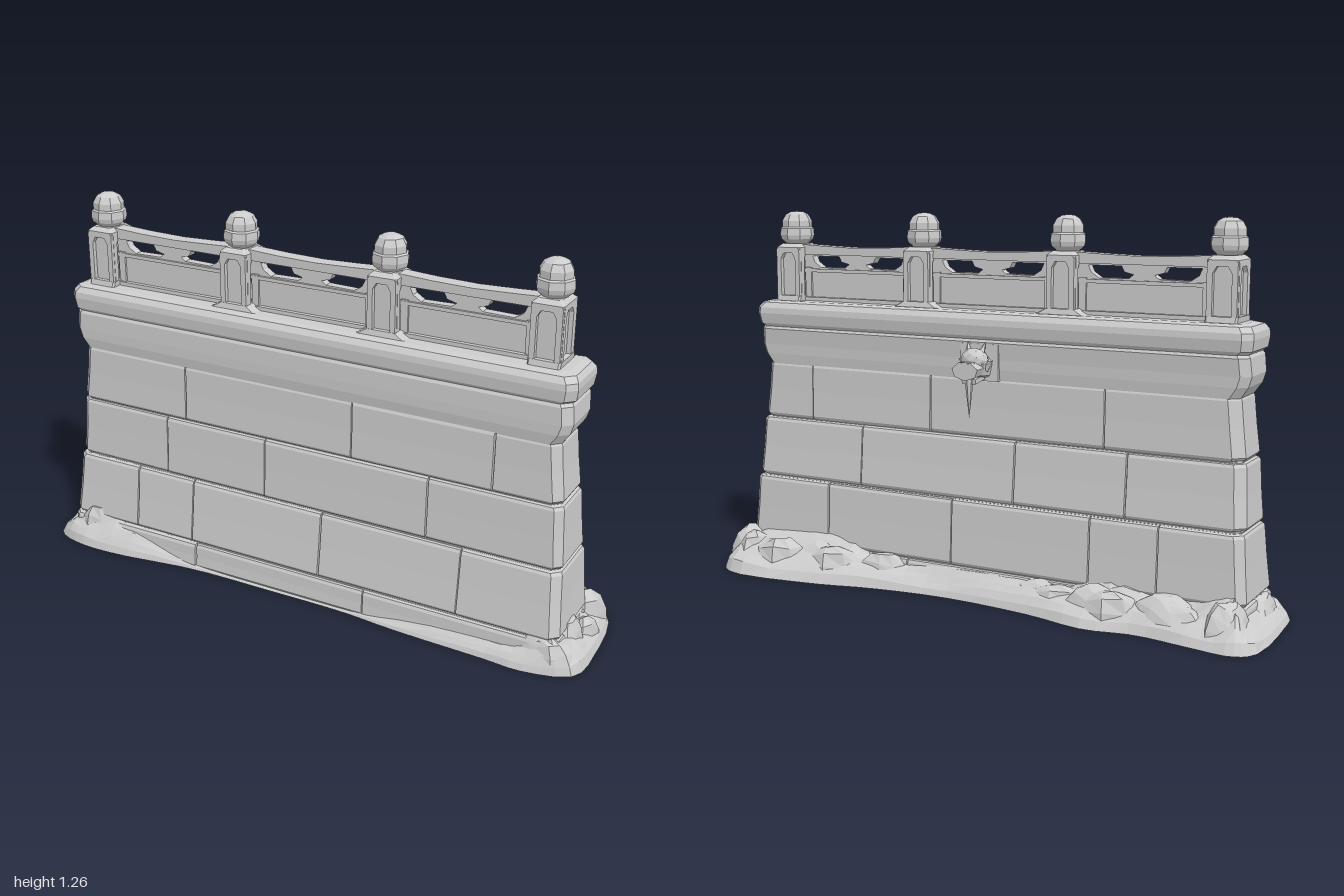
import * as THREE from 'three';

const stone = new THREE.MeshStandardMaterial({ color: 0xcccccc, flatShading: true, side: THREE.DoubleSide });
stone.name = 'grey stone';

let seed = 7;
const rnd = () => (seed = (seed * 16807) % 2147483647) / 2147483647;

function add(parent, name, geometry, x = 0, y = 0, z = 0) {
  const mesh = new THREE.Mesh(geometry, stone);
  mesh.name = name;
  mesh.position.set(x, y, z);
  parent.add(mesh);
  return mesh;
}
const box = (w, h, d) => new THREE.BoxGeometry(w, h, d);

// Skin a stack of rings or open strips, each a list of [x, y, z]
function loft(rings, { closed = true, caps = true } = {}) {
  const n = rings[0].length, pos = rings.flat(2), idx = [];
  for (let r = 0; r < rings.length - 1; r++)
    for (let i = 0; i < (closed ? n : n - 1); i++) {
      const a = r * n + i, b = r * n + (i + 1) % n;
      idx.push(a, b, b + n, a, b + n, a + n);
    }
  const last = (rings.length - 1) * n;
  if (caps) for (let i = 1; i < n - 1; i++) idx.push(0, i + 1, i, last, last + i, last + i + 1);
  const g = new THREE.BufferGeometry();
  g.setAttribute('position', new THREE.Float32BufferAttribute(pos, 3));
  g.setIndex(idx);
  const flat = g.toNonIndexed();
  flat.computeVertexNormals();
  return flat;
}

// Rectangle in plan with corners cut by c
const plan = (w, zf, zb, y, c) => [
  [-w + c, y, zf], [w - c, y, zf], [w, y, zf - c], [w, y, zb + c],
  [w - c, y, zb], [-w + c, y, zb], [-w, y, zb + c], [-w, y, zf - c]];

// Courses: bottom, top, [half width, front z, back z] at each, joint positions
const courses = [
  [0, 0.095, [0.93, 0.2, -0.1], [0.922, 0.194, -0.094], [-0.39, 0.26]],
  [0.095, 0.32, [0.922, 0.19, -0.094], [0.905, 0.163, -0.084], [-0.64, -0.41, 0.09, 0.585]],
  [0.32, 0.53, [0.905, 0.158, -0.07], [0.892, 0.15, -0.052], [-0.52, -0.13, 0.46]],
  [0.53, 0.73, [0.89, 0.15, -0.05], [0.868, 0.144, -0.046], [-0.44, 0.19, 0.67]]];

function buildWall(root) {
  const wall = new THREE.Group();
  wall.name = 'wall';
  root.add(wall);
  courses.forEach(([y0, y1, lo, hi, joints], row) => {
    const gap = 0.0022, depth = 0.014, edges = [-1, ...joints, 1];
    // Outlines of a block face in plan: the ends wrap round the corners
    const front = (a, b, zf) => [[a, zf - depth], [a, zf], [b, zf], [b, zf - depth]];
    const back = (a, b, zb) => [[b, zb + depth], [b, zb], [a, zb], [a, zb + depth]];
    const leftEnd = (w, b, zf, zb, c) => [[b, zb + depth], [b, zb], [-w + c, zb], [-w, zb + c],
      [-w, zf - c], [-w + c, zf], [b, zf], [b, zf - depth]];
    const rightEnd = (w, a, zf, zb, c) => [[a, zf - depth], [a, zf], [w - c, zf], [w, zf - c],
      [w, zb + c], [w - c, zb], [a, zb], [a, zb + depth]];
    for (let k = 0; k < edges.length - 1; k++) {
      const a = edges[k] + gap, b = edges[k + 1] - gap, c = 0.022 + rnd() * 0.012, push = (rnd() - 0.5) * 0.005;
      const e = 0.007 / (y1 - y0);
      const levels = [[e, 0.004], [2 * e, 0], [0.5, 0.001], [1 - 2 * e, 0], [1 - e * 0.6, 0.004], [1, 0.014]];
      levels.unshift([0, row ? 0.014 : 0]);
      const face = outline => add(wall, 'wallBlock', loft(levels.map(([t, inset]) => {
        const [w, zf, zb] = lo.map((v, i) => v + (hi[i] - v) * t);
        return outline(w - inset, zf - inset + push, zb + inset - push).map(([x, z]) => [x, y0 + (y1 - y0) * t, z]);
      }), { closed: false, caps: false }));
      if (k === 0) face((w, zf, zb) => leftEnd(w, b, zf, zb, c));
      else if (k === edges.length - 2) face((w, zf, zb) => rightEnd(w, a, zf, zb, c));
      else {
        face((w, zf) => front(a, b, zf));
        face((w, zf, zb) => back(a, b, zb));
      }
    }
  });
  // Hollow mortar lining behind the joints
  add(wall, 'mortarLining', loft(courses.flatMap(([y0, y1, lo, hi]) => [[y0, lo], [y1, hi]])
    .map(([y, [w, zf, zb]]) => plan(w - 0.012, zf - 0.012, zb + 0.012, y, 0.025)), { caps: false }));

  // Moulding and coping on top of the courses
  const rings = list => loft(list.map(([y, w, zf, zb]) => plan(w, zf, zb, y, 0.028)));
  add(wall, 'moulding', rings([[0.722, 0.866, 0.142, -0.045], [0.757, 0.89, 0.148, -0.049],
    [0.79, 0.9, 0.149, -0.05], [0.845, 0.895, 0.148, -0.056], [0.856, 0.888, 0.142, -0.05]]));
  add(wall, 'coping', rings([[0.854, 0.888, 0.142, -0.052], [0.865, 0.902, 0.151, -0.06],
    [0.9, 0.907, 0.155, -0.066], [0.92, 0.905, 0.153, -0.064], [0.938, 0.893, 0.14, -0.052], [0.944, 0.87, 0.12, -0.03]]));
}

const poly = pts => pts.map(([x, y]) => new THREE.Vector2(x, y));
const extrude = (shape, depth) => new THREE.ExtrudeGeometry(shape, { depth, bevelEnabled: false });

// Post with sunk panels on four sides, spread foot and bud finial
function buildPost(root, x) {
  const post = new THREE.Group();
  post.name = 'post';
  post.position.set(x, 0, 0.045);
  root.add(post);
  const sq = (w, d, y) => plan(w, d, -d, y, 0.006);
  add(post, 'postCore', box(0.07, 0.19, 0.09), 0, 1.03);
  for (let i = 0; i < 4; i++) {
    const shape = new THREE.Shape(poly([[-0.048, 0.935], [0.048, 0.935], [0.048, 1.125], [-0.048, 1.125]]));
    shape.holes.push(new THREE.Path(poly([[-0.03, 0.962], [-0.03, 1.09], [-0.018, 1.11],
      [0.018, 1.11], [0.03, 1.09], [0.03, 0.962], [0.019, 0.95], [-0.019, 0.95]])));
    const side = new THREE.Group();
    side.name = 'postPanelFrame';
    side.rotation.y = i * Math.PI / 2;
    add(side, 'panelFrame', extrude(shape, 0.015), 0, 0, i % 2 ? 0.034 : 0.045);
    post.add(side);
  }
  add(post, 'postCap', loft([sq(0.05, 0.06, 1.122), sq(0.05, 0.06, 1.13), sq(0.036, 0.044, 1.143)]));
  const wide = Math.abs(x) < 0.5 ? 0.095 : 0.056;
  add(post, 'postFoot', loft([sq(wide, 0.068, 0.935), sq(wide * 0.9, 0.066, 0.943), sq(0.052, 0.061, 0.962)]));
  const bud = [[0.03, 1.135], [0.042, 1.146], [0.056, 1.158], [0.06, 1.172], [0.058, 1.195],
    [0.052, 1.2], [0.052, 1.222], [0.04, 1.243], [0.022, 1.253], [0, 1.256]];
  add(post, 'finial', new THREE.LatheGeometry(poly(bud), 8));
}

// Balustrade bay between two posts
function buildBay(root, a, b) {
  const bay = new THREE.Group(), w = (b - a) / 2 - 0.04;
  bay.name = 'balustradeBay';
  bay.position.set((a + b) / 2, 0, 0.045);
  root.add(bay);
  const panel = new THREE.Shape(poly([[-w, 0.935], [w, 0.935], [w, 1.12], [-w, 1.12]]));
  for (const s of [-1, 1])
    panel.holes.push(new THREE.Path(poly([[0.05, 1.062], [0.15, 1.06], [0.178, 1.078],
      [0.188, 1.1], [0.075, 1.1], [0.066, 1.082], [0.035, 1.074]].map(([x, y]) => [x * s, y]))));
  add(bay, 'piercedPanel', extrude(panel, 0.03), 0, 0, -0.015);
  const rail = new THREE.Shape(poly([[-w, 1.105], [w, 1.105], [w, 1.14], [w * 0.6, 1.136],
    [0.02, 1.132], [-w * 0.5, 1.135], [-w, 1.141]]));
  add(bay, 'topRail', extrude(rail, 0.052), 0, 0, -0.026);
  add(bay, 'middleRail', box(2 * w, 0.012, 0.046), 0, 1.05);
  add(bay, 'bottomRail', box(2 * w, 0.022, 0.06), 0, 0.946);
  for (const s of [-1, 1]) add(bay, 'panelStile', box(0.025, 0.12, 0.044), s * (w - 0.02), 1);
}

// Carved beast-head spout with an icicle, on the back
function buildSpout(root) {
  const spout = new THREE.Group();
  spout.name = 'waterSpout';
  spout.position.set(0, 0.77, -0.045);
  spout.rotation.y = Math.PI;
  root.add(spout);
  add(spout, 'spoutPlate', box(0.14, 0.12, 0.016), 0, 0.01, 0.004);
  const neck = add(spout, 'neck', new THREE.CylinderGeometry(0.042, 0.052, 0.06, 7), 0, 0, 0.03);
  neck.rotation.x = Math.PI / 2;
  const head = add(spout, 'brow', new THREE.IcosahedronGeometry(0.048, 1), 0, 0.022, 0.042);
  head.scale.set(1, 0.8, 0.75);
  const upper = add(spout, 'upperJaw', new THREE.CylinderGeometry(0.048, 0.04, 0.075, 7), 0, -0.008, 0.071);
  upper.rotation.x = Math.PI / 2;
  upper.scale.set(1, 1, 0.65);
  add(spout, 'nose', box(0.05, 0.024, 0.022), 0, 0.004, 0.099);
  const lower = add(spout, 'lowerJaw', box(0.05, 0.016, 0.06), 0, -0.04, 0.052);
  lower.rotation.x = 0.15;
  for (const s of [-1, 1]) {
    const horn = add(spout, 'horn', new THREE.ConeGeometry(0.018, 0.05, 5), s * 0.026, 0.057, 0.034);
    horn.rotation.set(-0.3, 0, -s * 0.25);
    const ear = add(spout, 'ear', new THREE.ConeGeometry(0.018, 0.04, 4), s * 0.048, 0.01, 0.034);
    ear.rotation.z = -s * 0.9;
  }
  const icicle = add(spout, 'icicle', new THREE.ConeGeometry(0.016, 0.14, 6), 0, -0.095, 0.078);
  icicle.rotation.x = Math.PI;
}

// Earth banked around the foot: outline points as x, bank height, z
function buildBank(root) {
  const outline = [
    [-0.975, 0.07, 0.205], [-0.88, 0.12, 0.248], [-0.72, 0.1, 0.253], [-0.4, 0.03, 0.208], [-0.1, 0.015, 0.202],
    [0.19, 0.015, 0.202], [0.38, 0.05, 0.218], [0.7, 0.06, 0.23], [0.83, 0.09, 0.236], [0.98, 0.11, 0.185],
    [0.997, 0.1, 0.03], [0.965, 0.11, -0.19], [0.88, 0.135, -0.255], [0.56, 0.125, -0.23], [0.35, 0.1, -0.18],
    [0.08, 0.085, -0.15], [-0.24, 0.09, -0.175], [-0.45, 0.115, -0.22], [-0.61, 0.105, -0.195],
    [-0.8, 0.11, -0.22], [-0.93, 0.12, -0.233], [-0.985, 0.1, -0.19], [-0.995, 0.08, 0.08]];
  const curve = new THREE.CatmullRomCurve3(outline.map(p => new THREE.Vector3(...p)), true);
  const n = 72, rings = [0, 0.1, 0.3, 0.55, 0.8, 1].map(t => {
    const ring = [];
    for (let i = 0; i < n; i++) {
      const p = curve.getPoint(i / n);
      const ix = THREE.MathUtils.clamp(p.x, -0.89, 0.89), iz = THREE.MathUtils.clamp(p.z, -0.08, 0.17);
      const lump = 1 + 0.14 * Math.sin(i * 0.9 + t * 3) + 0.16 * (rnd() - 0.5);
      ring.push([p.x + (ix - p.x) * t, Math.max(0, p.y) * Math.pow(t, 0.55) * lump, p.z + (iz - p.z) * t]);
    }
    return ring;
  });
  add(root, 'earthBank', loft(rings, { caps: false }));

  // Broad weathered lumps merging into the bank: x, z, then radii along x, y, z
  const rocks = [[0.89, -0.12, 0.08, 0.14, 0.08], [0.91, 0.07, 0.06, 0.125, 0.08], [0.93, -0.02, 0.05, 0.1, 0.07],
    [0.76, -0.15, 0.13, 0.125, 0.07], [0.56, -0.13, 0.14, 0.125, 0.07], [0.36, -0.1, 0.13, 0.105, 0.055],
    [-0.28, -0.1, 0.14, 0.1, 0.055], [-0.48, -0.13, 0.13, 0.12, 0.065], [-0.7, -0.12, 0.14, 0.115, 0.07],
    [-0.88, -0.13, 0.08, 0.125, 0.08], [-0.92, 0.08, 0.05, 0.1, 0.1], [-0.83, 0.175, 0.1, 0.13, 0.045],
    [0.87, 0.17, 0.08, 0.12, 0.045]];
  for (const [x, z, rx, ry, rz] of rocks) {
    const g = new THREE.SphereGeometry(1, 9, 4, 0, Math.PI * 2, 0, Math.PI / 2);
    const p = g.attributes.position, phase = rnd() * 6;
    for (let i = 0; i < p.count; i++) {
      const f = 1 + 0.13 * Math.sin(4 * p.getX(i) + 3 * p.getZ(i) + phase);
      p.setXYZ(i, p.getX(i) * f, Math.min(1, p.getY(i) * f), p.getZ(i) * f);
    }
    g.scale(rx, ry, rz);
    add(root, 'rock', g, x, 0, z);
  }
}

export function createModel() {
  seed = 7;
  const root = new THREE.Group();
  root.name = 'stoneWall';
  buildWall(root);
  const posts = [-0.797, -0.267, 0.265, 0.79];
  posts.forEach((x, i) => {
    buildPost(root, x);
    if (i) buildBay(root, posts[i - 1], x);
  });
  buildSpout(root);
  buildBank(root);
  return root;
}
